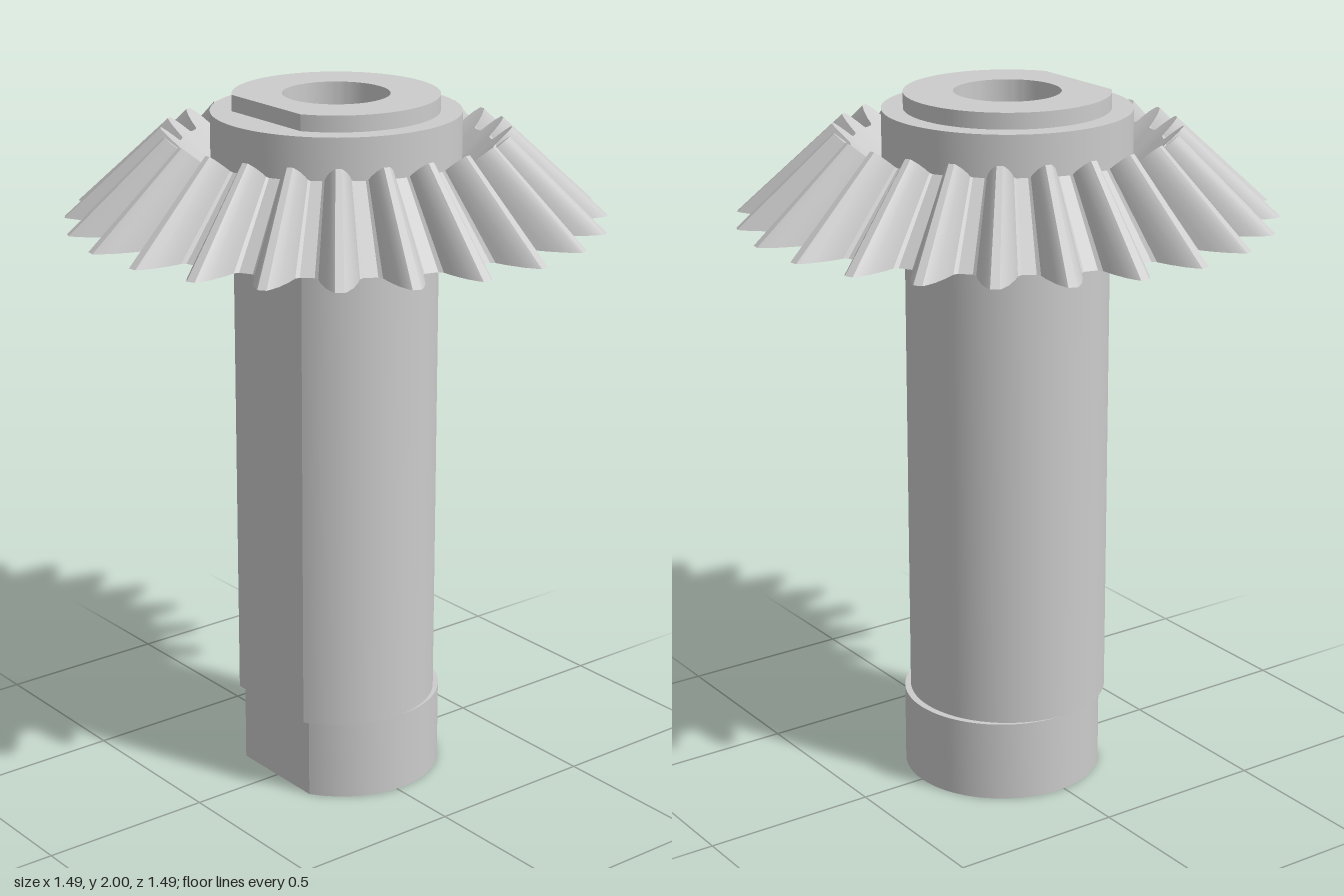
import * as THREE from 'three';
import { toCreasedNormals } from 'three/addons/utils/BufferGeometryUtils.js';

const TEETH = 24, BORE = 0.148, SHAFT_R = 0.285, FLAT = 0.24;
const material = new THREE.MeshStandardMaterial({ color: 0xcccccc });

function addMesh(group, name, geometry) {
  const mesh = new THREE.Mesh(toCreasedNormals(geometry, 0.45), material);
  mesh.name = name;
  group.add(mesh);
  return mesh;
}

// Extrude a plan shape with a round hole upwards from y0 to y1
function prism(shape, hole, y0, y1) {
  shape.holes.push(new THREE.Path().absarc(0, 0, hole, 0, Math.PI * 2, true));
  const g = new THREE.ExtrudeGeometry(shape, { depth: y1 - y0, bevelEnabled: false, curveSegments: 48 });
  return g.rotateX(-Math.PI / 2).translate(0, y0, 0);
}

// Round plan with one flat on the front (+z) side
function dShape() {
  const a = Math.asin(FLAT / SHAFT_R);
  const s = new THREE.Shape().absarc(0, 0, SHAFT_R, -a, Math.PI + a, false);
  s.closePath();
  return s;
}

// Bevel gear: toothed outlines at the large and small ends, closed by inner rings
function gearGeometry() {
  // Half a tooth: [height fraction, half width at the large end]
  const flank = [[0, 0.062], [0.08, 0.053], [0.35, 0.047], [0.7, 0.034], [0.93, 0.019], [1, 0.012]];
  const tooth = [
    ...flank.map(([t, w]) => [t, -w]),
    ...flank.slice().reverse(),
  ];
  const rings = [[], [], [], []];
  const put = (ring, r, y, a) => rings[ring].push(new THREE.Vector3(r * Math.cos(a), y, r * Math.sin(a)));
  for (let i = 0; i < TEETH; i++) {
    const mid = ((i + 0.5) / TEETH) * Math.PI * 2;
    for (const [t, w] of tooth) {
      const rOut = 0.62 + 0.13 * t, rIn = 0.43 + 0.05 * t;
      const aOut = mid + w / rOut, aIn = mid + (w * 0.66) / rIn;
      put(0, 0.22, 1.655, aOut);
      put(1, rOut, 1.655, aOut);
      put(2, rIn, 1.86 + 0.045 * t, aIn);
      put(3, 0.335, 1.77, aIn);
    }
  }
  const pos = [], n = rings[0].length;
  for (let k = 0; k < 3; k++) {
    for (let i = 0; i < n; i++) {
      const j = (i + 1) % n;
      const a = rings[k][i], b = rings[k + 1][i], c = rings[k + 1][j], d = rings[k][j];
      for (const p of [a, b, c, a, c, d]) pos.push(p.x, p.y, p.z);
    }
  }
  const g = new THREE.BufferGeometry();
  g.setAttribute('position', new THREE.Float32BufferAttribute(pos, 3));
  g.computeVertexNormals();
  return g;
}

export function createModel() {
  const model = new THREE.Group();
  model.name = 'bevelGearShaft';

  // Long hollow shaft with a front flat
  addMesh(model, 'shaft', prism(dShape(), BORE, 0.235, 2));

  // Short end piece of the same section, set slightly back
  addMesh(model, 'endPiece', prism(dShape(), BORE, 0, 0.235)).position.z = -0.02;

  // Toothed bevel gear and its hub
  addMesh(model, 'bevelGear', gearGeometry());
  const hub = new THREE.Shape().absarc(0, 0, 0.345, 0, Math.PI * 2, false);
  addMesh(model, 'gearHub', prism(hub, 0.2, 1.7, 1.955));

  return model;
}
